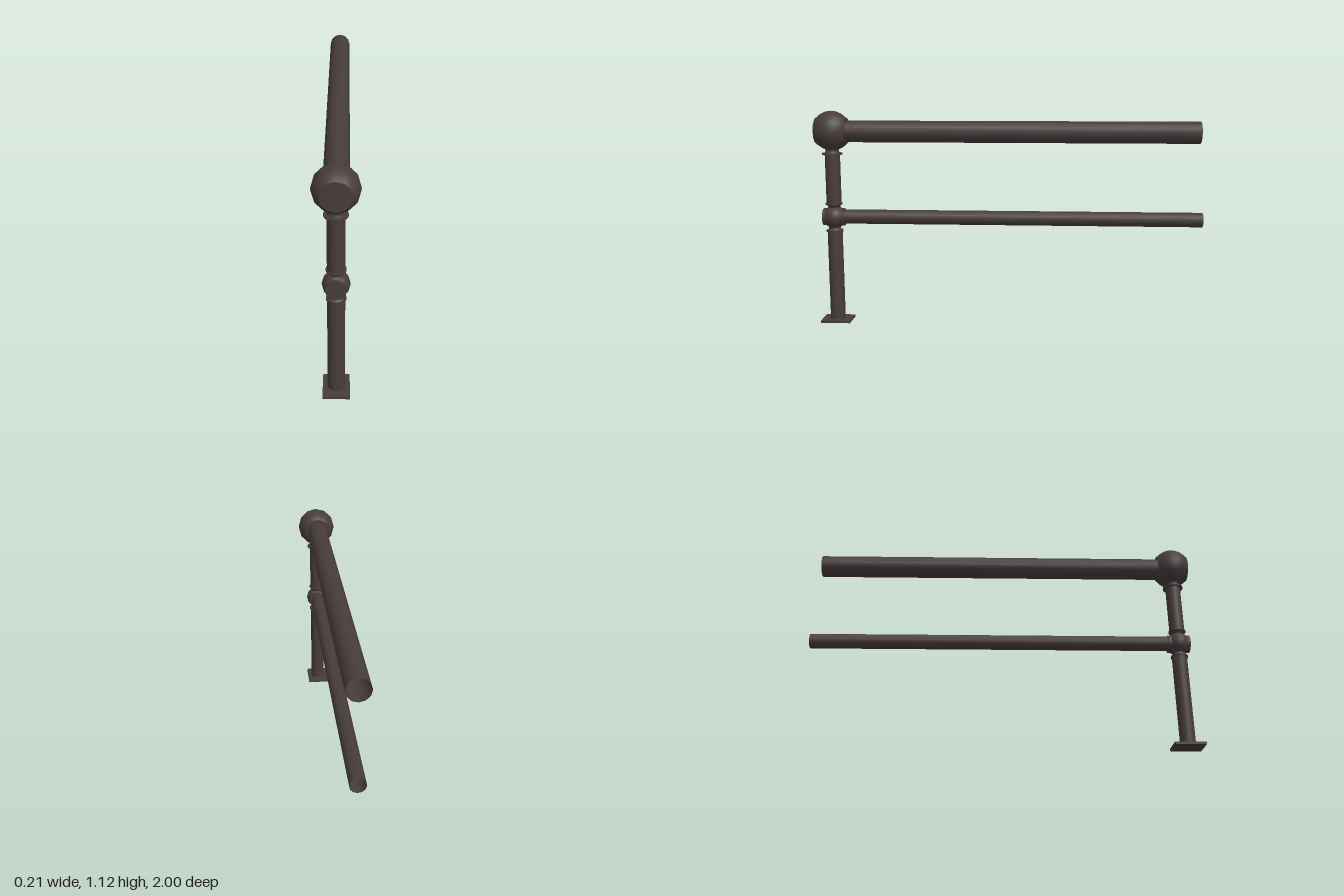
import * as THREE from 'three';

const SIDES = 12;
const POST_Z = 0.92;

export function createModel() {
  const model = new THREE.Group();
  model.name = 'railing';
  const iron = new THREE.MeshStandardMaterial({ color: 0x483c3c });
  iron.name = 'dark iron';
  const ironOpen = iron.clone(); // same colour for open pipes
  ironOpen.side = THREE.DoubleSide;

  const add = (name, geometry, material = iron) => {
    const mesh = new THREE.Mesh(geometry, material);
    mesh.name = name;
    model.add(mesh);
    return mesh;
  };

  // Upright cylinder between two heights
  const upright = (name, r, y0, y1) =>
    add(name, new THREE.CylinderGeometry(r, r, y1 - y0, SIDES * 2)).position.set(0, (y0 + y1) / 2, POST_Z);

  // Cylinder lying along z
  const lying = (name, r, y, z0, z1, open) => {
    const g = new THREE.CylinderGeometry(r, r, z1 - z0, SIDES, 1, open);
    g.rotateX(Math.PI / 2);
    add(name, g, open ? ironOpen : iron).position.set(0, y, (z0 + z1) / 2);
  };

  // Ball joint: sphere cut off front and back, with a flat round boss through it
  const joint = (name, y, r, bossR, half) => {
    const cut = Math.asin(bossR / r) * 0.97;
    const g = new THREE.SphereGeometry(r, SIDES, 10, 0, Math.PI * 2, cut, Math.PI - 2 * cut);
    g.rotateX(Math.PI / 2);
    add(name + 'Ball', g, ironOpen).position.set(0, y, POST_Z);
    lying(name + 'Boss', bossR, y, POST_Z - half, POST_Z + half, false);
  };

  // Concave neck flaring between a collar and a ball
  const neck = (name, points) => {
    const curve = new THREE.SplineCurve(points.map(([r, y]) => new THREE.Vector2(r, y)));
    add(name, new THREE.LatheGeometry(curve.getPoints(6), SIDES * 2), ironOpen).position.z = POST_Z;
  };

  // Foot plate and post
  add('footPlate', new THREE.BoxGeometry(0.122, 0.013, 0.155)).position.set(0, 0.0065, POST_Z);
  upright('lowerPost', 0.039, 0.012, 0.49);
  upright('upperPost', 0.039, 0.635, 0.9);

  // Collars
  upright('lowerCollar', 0.044, 0.487, 0.496);
  upright('middleCollar', 0.044, 0.632, 0.64);
  upright('topCollar', 0.052, 0.894, 0.903);

  // Necks
  neck('lowerNeck', [[0.042, 0.494], [0.031, 0.505], [0.032, 0.522]]);
  neck('middleNeck', [[0.032, 0.608], [0.031, 0.62], [0.042, 0.634]]);
  neck('topNeck', [[0.04, 0.901], [0.034, 0.918], [0.046, 0.94]]);

  // Ball joints
  joint('top', 1.018, 0.103, 0.068, 0.08);
  joint('middle', 0.565, 0.061, 0.046, 0.056);

  // Open pipe rails
  lying('handRail', 0.056, 1.015, -0.975, 0.86, true);
  lying('lowerRail', 0.038, 0.567, -1, 0.88, true);

  return model;
}
